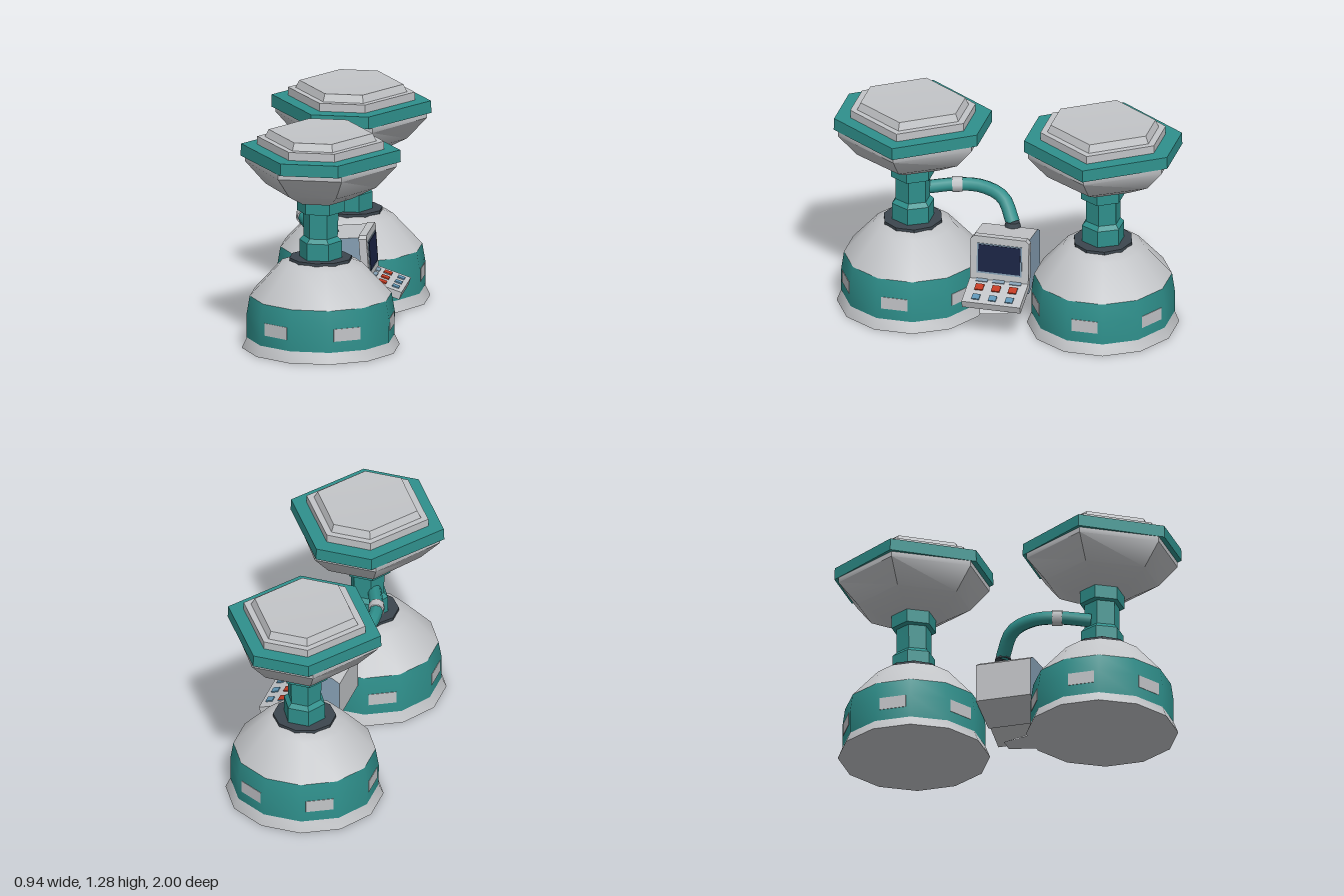
import * as THREE from 'three';
import { toCreasedNormals } from 'three/addons/utils/BufferGeometryUtils.js';

const mat = (name, color, side = THREE.FrontSide) => {
  const m = new THREE.MeshStandardMaterial({ color, side });
  m.name = name;
  return m;
};

// Unit outlines in x-z
const hexagon = (k) => [[1, 0], [k, 1], [-k, 1], [-1, 0], [-k, -1], [k, -1]];
const polygon = (n) => Array.from({ length: n }, (_, i) => {
  const a = ((i + 0.5) / n) * Math.PI * 2, r = 1 / Math.cos(Math.PI / n);
  return [Math.cos(a) * r, Math.sin(a) * r];
});

// Stacks scaled copies of an outline; levels are [x radius, z radius, y]
function loft(outline, levels, crease = 0.65) {
  const n = outline.length, pos = [], idx = [];
  for (const [rx, rz, y] of levels) for (const [x, z] of outline) pos.push(x * rx, y, z * rz);
  for (let l = 0; l < levels.length - 1; l++) {
    for (let i = 0; i < n; i++) {
      const a = l * n + i, b = l * n + ((i + 1) % n);
      if (levels[l + 1][0] > 0) idx.push(a, a + n, b + n);
      if (levels[l][0] > 0) idx.push(a, b + n, b);
    }
  }
  const g = new THREE.BufferGeometry();
  g.setAttribute('position', new THREE.Float32BufferAttribute(pos, 3));
  g.setIndex(idx);
  return toCreasedNormals(g, crease);
}

export function createModel() {
  const grey = mat('lightGrey', 0xc2c4c7);
  const teal = mat('teal', 0x2f908c);
  const dark = mat('darkSlate', 0x3c464e);
  const steel = mat('steelBlue', 0x86a0b4);
  const navy = mat('navyScreen', 0x1b2445);
  const red = mat('redKey', 0xc23a22);
  const blue = mat('blueKey', 0x5f95b5);

  const root = new THREE.Group();
  root.name = 'twinPedestalsWithConsole';
  const add = (parent, name, geo, material, x = 0, y = 0, z = 0) => {
    const m = new THREE.Mesh(geo, material);
    m.name = name;
    m.position.set(x, y, z);
    parent.add(m);
    return m;
  };
  const box = (w, h, d) => new THREE.BoxGeometry(w, h, d);
  const round = polygon(12), hex = hexagon(0.36), post = hexagon(0.5);

  function pedestal(name, z) {
    const p = new THREE.Group();
    p.name = name;
    p.position.z = z;
    root.add(p);

    // Flared base, painted band and cone
    add(p, 'skirt', loft(round, [[0, 0, 0], [0.445, 0.425, 0], [0.415, 0.4, 0.065]]), grey);
    add(p, 'band', loft(round, [[0.417, 0.4, 0.062], [0.418, 0.4, 0.2], [0.4, 0.385, 0.31]]), teal);
    add(p, 'cone', loft(round, [[0.4, 0.385, 0.31], [0.235, 0.225, 0.495], [0.17, 0.16, 0.52], [0, 0, 0.52]]), grey);
    add(p, 'collar', loft(polygon(10), [[0.175, 0.165, 0.505], [0.175, 0.165, 0.535], [0, 0, 0.535]]), dark);

    // Six windows around the band
    const windows = new THREE.Group();
    windows.name = 'windows';
    windows.scale.z = 0.957;
    p.add(windows);
    for (let i = 0; i < 6; i++) {
      const a = (i * Math.PI) / 3;
      const w = add(windows, 'window', box(0.009, 0.074, 0.165), grey, Math.cos(a) * 0.416, 0.166, Math.sin(a) * 0.416);
      w.rotation.y = -a;
    }

    // Stepped column
    add(p, 'column', loft(post, [
      [0.125, 0.11, 0.53], [0.125, 0.11, 0.635], [0.1, 0.09, 0.66],
      [0.105, 0.09, 0.805], [0.14, 0.113, 0.81], [0.14, 0.113, 0.895],
    ]), teal);

    // Bowl, rim and stepped top
    add(p, 'bowl', loft(hexagon(0.42), [[0, 0, 0.888], [0.185, 0.175, 0.888], [0.325, 0.3, 0.96], [0.445, 0.4, 1.09], [0.445, 0.4, 1.125]]), grey);
    add(p, 'rim', loft(hex, [[0.4, 0.36, 1.12], [0.47, 0.43, 1.12], [0.467, 0.428, 1.192], [0.35, 0.32, 1.192]]), teal);
    add(p, 'lowerStep', loft(hex, [[0.372, 0.34, 1.185], [0.372, 0.34, 1.24], [0.3, 0.28, 1.24]]), grey);
    add(p, 'upperStep', loft(hex, [[0.33, 0.305, 1.235], [0.305, 0.285, 1.284], [0, 0, 1.272]]), grey);
    return p;
  }
  const front = pedestal('frontPedestal', 0.57);
  pedestal('backPedestal', -0.57);

  // Low tongue running from the front skirt under the console
  const tongue = loft(hexagon(0.5), [[0, 0, 0], [0.1, 0.2, 0], [0.08, 0.12, 0.022], [0, 0, 0.03]]);
  add(front, 'tongue', tongue, grey, 0, 0, -0.38);

  // Console body, with coloured flanks and pale shell
  const c = new THREE.Group();
  c.name = 'console';
  c.position.z = -0.005;
  root.add(c);
  const side = new THREE.Shape([[-0.08, 0.27], [0.17, 0.205], [0.22, 0.23], [0.185, 0.55], [-0.03, 0.53], [-0.08, 0.5]]
    .map(([x, y]) => new THREE.Vector2(x, y)));
  const body = new THREE.ExtrudeGeometry(side, { depth: 0.33, bevelEnabled: false });
  add(c, 'body', body, [steel, grey], 0, 0, -0.165);

  // Tilted bezel and screen
  const face = new THREE.Group();
  face.name = 'screenFace';
  face.position.set(0.193, 0.42, 0);
  face.rotation.z = 0.07;
  c.add(face);
  const frame = new THREE.Shape([[-0.175, -0.14], [0.175, -0.14], [0.175, 0.12], [0.155, 0.14], [-0.155, 0.14], [-0.175, 0.12]]
    .map(([x, y]) => new THREE.Vector2(x, y)));
  const bezel = add(face, 'bezel', new THREE.ExtrudeGeometry(frame, { depth: 0.045, bevelEnabled: false }), grey, -0.025, 0, 0);
  bezel.rotation.y = Math.PI / 2;
  add(face, 'screenBorder', box(0.006, 0.185, 0.27), steel, 0.021, 0.005, 0);
  add(face, 'screen', box(0.008, 0.168, 0.252), navy, 0.023, 0.007, 0);

  // Key tray sloping down and out
  const tray = new THREE.Group();
  tray.name = 'keyTray';
  tray.position.set(0.3, 0.245, 0);
  tray.rotation.z = -0.32;
  c.add(tray);
  add(tray, 'trayPlate', box(0.22, 0.045, 0.35), grey);
  for (const z of [-0.1, 0, 0.1]) {
    add(tray, 'redKey', box(0.048, 0.009, 0.05), z < -0.05 ? blue : red, -0.02, 0.025, z);
    add(tray, 'blueKey', box(0.042, 0.009, 0.045), blue, 0.062, 0.025, z);
    add(tray, 'steelKey', box(0.025, 0.006, 0.07), steel, -0.08, 0.024, z);
  }
  add(tray, 'redKey', box(0.048, 0.0095, 0.05), red, -0.02, 0.0255, -0.1);

  // Curved arm holding the console, with a clamp
  const path = new THREE.CatmullRomCurve3([
    [-0.06, 0.7, 0.52], [-0.135, 0.71, 0.33], [-0.15, 0.705, 0.19], [-0.115, 0.665, 0.06], [-0.04, 0.545, -0.02],
  ].map((v) => new THREE.Vector3(...v)));
  add(root, 'arm', new THREE.TubeGeometry(path, 14, 0.041, 8), teal);
  const at = path.getPointAt(0.3);
  const clamp = add(root, 'armClamp', new THREE.CylinderGeometry(0.047, 0.047, 0.06, 8), grey, at.x, at.y, at.z);
  clamp.quaternion.setFromUnitVectors(new THREE.Vector3(0, 1, 0), path.getTangentAt(0.3));
  add(root, 'armFoot', new THREE.CylinderGeometry(0.04, 0.05, 0.03, 8), dark, -0.035, 0.545, -0.02);

  return root;
}
